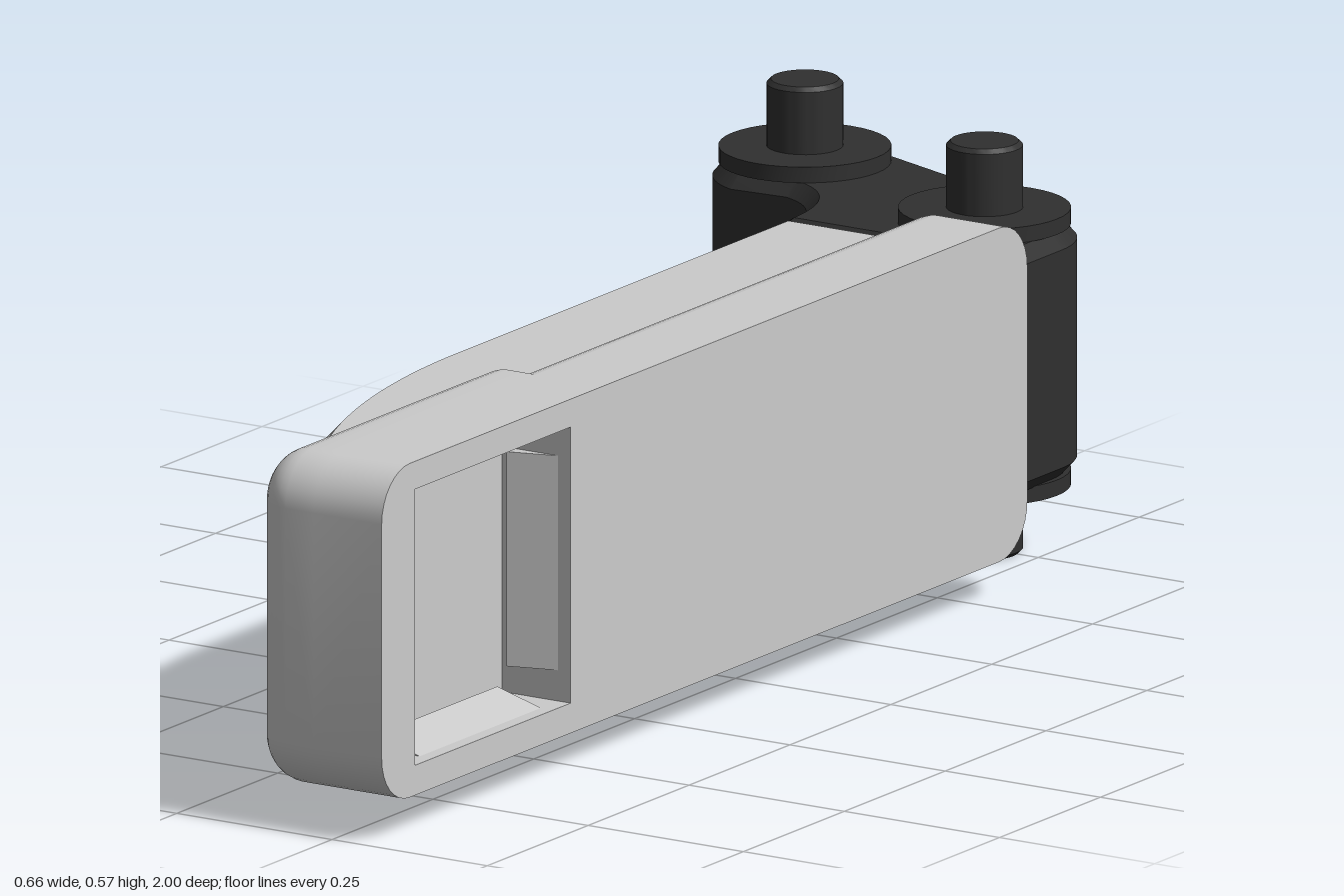
import * as THREE from 'three';
import { toCreasedNormals } from 'three/addons/utils/BufferGeometryUtils.js';

const grey = new THREE.MeshStandardMaterial({ color: 0xcccccc });
const dark = new THREE.MeshStandardMaterial({ color: 0x303030 });
const darkInside = new THREE.MeshStandardMaterial({ color: 0x303030, side: THREE.DoubleSide });

// Joins convex rings of [u, v, w], counterclockwise and advancing in +w, with capped ends
function loft(rings) {
  const n = rings[0].length, last = rings[rings.length - 1], pos = [];
  const tri = (a, b, c) => pos.push(...a, ...b, ...c);
  for (let i = 0; i < rings.length - 1; i++) {
    for (let j = 0; j < n; j++) {
      const k = (j + 1) % n, r = rings[i], s = rings[i + 1];
      tri(r[j], r[k], s[k]);
      tri(r[j], s[k], s[j]);
    }
  }
  for (let j = 1; j < n - 1; j++) {
    tri(rings[0][0], rings[0][j + 1], rings[0][j]);
    tri(last[0], last[j], last[j + 1]);
  }
  const g = new THREE.BufferGeometry();
  g.setAttribute('position', new THREE.Float32BufferAttribute(pos, 3));
  return g;
}

// Rounded rectangle in u = -z, v = y; rBack and rFront are the corner radii at each end
function roundedRect(z0, z1, y0, y1, rBack, rFront, inset = 0) {
  const pts = [];
  const corners = [[-z0, y1, rBack, 1, 1], [-z1, y1, rFront, -1, 1], [-z1, y0, rFront, -1, -1], [-z0, y0, rBack, 1, -1]];
  corners.forEach(([u, v, r, su, sv], q) => {
    for (let i = 0; i <= 8; i++) {
      const a = (q + i / 8) * Math.PI / 2, rr = Math.max(r - inset, 0), c = Math.max(r, inset);
      pts.push([u - su * c + rr * Math.cos(a), v - sv * c + rr * Math.sin(a)]);
    }
  });
  return pts;
}

// Slab rising from a filleted face at x0 to a full outline at x1
function filletedSlab(z0, z1, rBack, rFront, x0, x1, fillet) {
  const rings = [];
  for (let i = 0; i <= 8; i++) {
    const a = (i / 8) * Math.PI / 2;
    const inset = fillet * (1 - Math.sin(a)), x = x0 + fillet * (1 - Math.cos(a));
    rings.push(roundedRect(z0, z1, 0.055, 0.522, rBack, rFront, inset).map(([u, v]) => [u, v, x]));
  }
  rings.push(roundedRect(z0, z1, 0.055, 0.522, rBack, rFront).map(([u, v]) => [u, v, x1]));
  return loft(rings).rotateY(Math.PI / 2);
}

// Grip outline in u = x, v = -z, with a curved nose; zEnd cuts it short
function gripRing(y, inset, zEnd = 0.87) {
  const pts = [[0.19, 0.6, y], [-0.075 + inset, 0.6, y]];
  for (let i = 0; i <= 20; i++) {
    const d = (i / 20) * (zEnd - 0.22);
    pts.push([-0.075 + inset + 1.18 - Math.sqrt(1.18 * 1.18 - d * d), -0.22 - d, y]);
  }
  pts.push([0.19, -zEnd, y]);
  return pts;
}

export function createModel() {
  const model = new THREE.Group();
  const add = (name, geometry, material = grey, crease = 0.55) => {
    const mesh = new THREE.Mesh(toCreasedNormals(geometry, crease), material);
    mesh.name = name;
    model.add(mesh);
    return mesh;
  };

  // Cover plate with a square pocket
  const outline = new THREE.Shape(roundedRect(-0.6, 1, 0.055, 0.522, 0.07, 0.07).map(p => new THREE.Vector2(...p)));
  const pocket = [[-0.918, 0.097], [-0.918, 0.483], [-0.532, 0.483], [-0.532, 0.097]];
  outline.holes.push(new THREE.Path(pocket.map(p => new THREE.Vector2(...p))));
  add('coverPlate', new THREE.ExtrudeGeometry(outline, { depth: 0.11, bevelEnabled: false })
    .rotateY(Math.PI / 2).translate(0.22, 0, 0));
  add('plateBack', filletedSlab(-0.6, 1, 0.07, 0.07, 0.18, 0.22, 0.04));
  add('endPad', filletedSlab(0.45, 1, 0, 0.07, 0.12, 0.22, 0.055));

  // Sloped catches on the four pocket walls
  const wedge = new THREE.Shape([[0.31, -0.193], [0.24, -0.193], [0.24, -0.173]].map(p => new THREE.Vector2(...p)));
  for (let k = 0; k < 4; k++) {
    add('pocketCatch', new THREE.ExtrudeGeometry(wedge, { depth: 0.3, bevelEnabled: false })
      .translate(0, 0, -0.15).rotateX(k * Math.PI / 2).translate(0, 0.29, 0.725), grey, 0.1);
  }

  // Grip: chamfered upper and lower cheeks around a slotted middle
  const grip = (name, rings) => add(name, loft(rings).rotateX(-Math.PI / 2), grey, 0.4);
  grip('gripUpper', [gripRing(0.377, 0), gripRing(0.44, 0), gripRing(0.46, 0.02)]);
  grip('gripLower', [gripRing(0.115, 0.02), gripRing(0.135, 0), gripRing(0.2, 0)]);
  grip('gripMiddle', [gripRing(0.2, 0, 0.221), gripRing(0.377, 0, 0.221)]);

  // Slot end wall with its screw bore
  const wall = new THREE.Shape([[-0.073, 0.2], [0.18, 0.2], [0.18, 0.377], [-0.073, 0.377]].map(p => new THREE.Vector2(...p)));
  wall.holes.push(new THREE.Path().absarc(0.037, 0.289, 0.057, 0, Math.PI * 2, true));
  add('slotWall', new THREE.ExtrudeGeometry(wall, { depth: 0.1, bevelEnabled: false, curveSegments: 32 })
    .translate(0, 0, 0.22));
  const lathe = (pts, seg = 40) => new THREE.LatheGeometry(pts.map(p => new THREE.Vector2(...p)), seg);
  add('boreRim', lathe([[0.057, 0], [0.096, 0], [0.096, 0.006], [0.057, 0.006], [0.057, 0]])
    .rotateX(Math.PI / 2).translate(0.037, 0.289, 0.319));
  add('boreLining', lathe([[0, 0], [0.056, 0.025], [0.056, 0.098]])
    .rotateX(Math.PI / 2).translate(0.037, 0.289, 0.222), darkInside);

  // Hinge link around two pin centres, drawn in u = x, v = -z
  const pins = [[-0.207, -0.875], [0.172, -0.737]], r = 0.125;
  const [[ax, az], [bx, bz]] = pins;
  const tangent = Math.atan2(bx - ax, -(az - bz)) ;
  const normal = Math.PI / 2 + Math.atan2(-bz + az, bx - ax);
  const link = new THREE.Shape();
  link.moveTo(bx + r, 0.6);
  link.lineTo(bx + r, -bz);
  link.absarc(bx, -bz, r, 0, normal, false);
  link.absarc(ax, -az, r, normal, normal + Math.PI, false);
  link.lineTo(-0.165, 0.764);
  link.bezierCurveTo(-0.11, 0.745, -0.075, 0.7, -0.075, 0.6);
  add('hingeLink', new THREE.ExtrudeGeometry(link, {
    depth: 0.305, bevelThickness: 0.02, bevelSize: 0.018, bevelOffset: -0.018, bevelSegments: 1, curveSegments: 24,
  }).rotateX(-Math.PI / 2).translate(0, 0.135, 0), dark);

  // Hinge pins and their washers
  for (const [x, z] of pins) {
    add('hingePin', lathe([[0, 0], [0.046, 0], [0.052, 0.006], [0.052, 0.569], [0.046, 0.575], [0, 0.575]])
      .translate(x, 0, z), dark);
    for (const y of [0.106, 0.471]) {
      add('washer', new THREE.CylinderGeometry(0.117, 0.117, 0.022, 40).translate(x, y, z), dark);
    }
  }
  return model;
}
